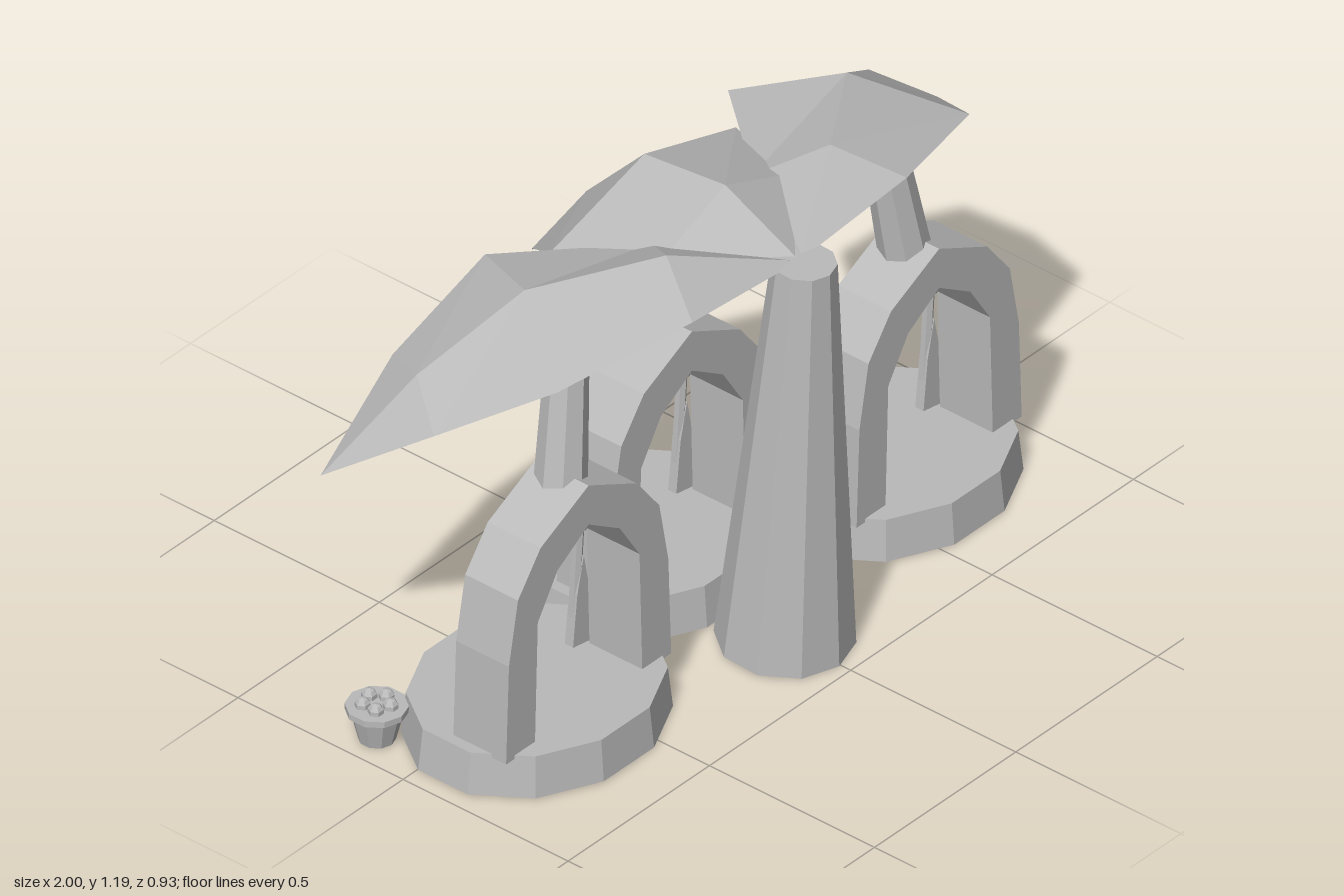
import * as THREE from 'three';

const stone = new THREE.MeshStandardMaterial({ color: 0xbababa, flatShading: true, side: THREE.DoubleSide });
stone.name = 'plain grey';

function add(parent, name, geometry, x = 0, y = 0, z = 0) {
  const mesh = new THREE.Mesh(geometry, stone);
  mesh.name = name;
  mesh.position.set(x, y, z);
  parent.add(mesh);
  return mesh;
}

// Tapered rod between two points, given as [x, y, z]
function rod(parent, name, from, to, r0, r1, sides) {
  const a = new THREE.Vector3(...from), b = new THREE.Vector3(...to);
  const dir = b.clone().sub(a);
  const mesh = add(parent, name, new THREE.CylinderGeometry(r1, r0, dir.length(), sides));
  mesh.position.copy(a).add(b).multiplyScalar(0.5);
  mesh.quaternion.setFromUnitVectors(new THREE.Vector3(0, 1, 0), dir.normalize());
  return mesh;
}

function trianglesOf(points) {
  const g = new THREE.BufferGeometry();
  g.setAttribute('position', new THREE.Float32BufferAttribute(points.flat(), 3));
  g.computeVertexNormals();
  return g;
}

// Leaf roof: stem, rows of [inner edge, ridge, outer edge], tip; the underside runs flat from edge to edge
function leafGeometry(stem, rows, tip) {
  const all = [[stem, stem, stem], ...rows, [tip, tip, tip]];
  const tris = [];
  for (let i = 0; i < all.length - 1; i++) {
    for (const [j, k] of [[0, 1], [1, 2], [2, 0]]) {
      const a = all[i][j], b = all[i][k], c = all[i + 1][j], d = all[i + 1][k];
      if (i > 0) tris.push(a, b, d);
      if (i < all.length - 2) tris.push(a, d, c);
    }
  }
  return trianglesOf(tris);
}

// Pointed arch, both halves mirrored
function archGeometry() {
  const outer = [[0.292, 0.1], [0.282, 0.37], [0.25, 0.54], [0.17, 0.645], [0, 0.73]];
  const inner = [[0.19, 0.1], [0.18, 0.44], [0.11, 0.55], [0, 0.62]];
  const mirrored = (pts) => pts.slice(0, -1).reverse().map(([x, y]) => [-x, y]);
  const outline = [...outer, ...mirrored(outer), ...[...inner, ...mirrored(inner)].reverse()];
  const shape = new THREE.Shape(outline.map(([x, y]) => new THREE.Vector2(x, y)));
  return new THREE.ExtrudeGeometry(shape, { depth: 0.16, bevelEnabled: false });
}

// Kite shield: raised centre toward the back, flat inner side
function shieldGeometry() {
  const half = [[0, 0.54], [0.06, 0.52], [0.12, 0.43], [0.095, 0.29], [0, 0.19]];
  const rim = [...half, ...half.slice(1, -1).reverse().map(([x, y]) => [-x, y])];
  const tris = [];
  rim.forEach(([x, y], i) => {
    const [u, v] = rim[(i + 1) % rim.length];
    tris.push([x, y, -0.06], [u, v, -0.06], [0, 0.385, -0.1]);
    tris.push([u, v, -0.052], [x, y, -0.052], [0, 0.385, -0.052]);
    tris.push([x, y, -0.052], [u, v, -0.052], [u, v, -0.06]);
    tris.push([x, y, -0.052], [u, v, -0.06], [x, y, -0.06]);
  });
  return trianglesOf(tris);
}

function createHut(name, x, z) {
  const hut = new THREE.Group();
  hut.name = name;
  hut.position.set(x, 0, z);

  const disc = new THREE.CylinderGeometry(0.331, 0.344, 0.11, 12);
  disc.rotateY(Math.PI / 12);
  disc.scale(1, 1, 0.84);
  add(hut, 'base', disc, 0, 0.055, 0);
  add(hut, 'arch', archGeometry(), 0, 0, -0.003);

  // Rack with hanging gear behind the arch
  add(hut, 'rackPost', new THREE.BoxGeometry(0.05, 0.35, 0.04), -0.155, 0.28, -0.018);
  rod(hut, 'rackBeam', [-0.19, 0.472, -0.02], [0.19, 0.472, -0.02], 0.044, 0.044, 6).scale.z = 0.7;
  rod(hut, 'spearShaft', [0.155, 0.12, -0.025], [0.185, 0.55, -0.025], 0.014, 0.014, 6);
  const blade = new THREE.Shape([[0.14, 0.12], [0.2, 0.11], [0.2, 0.25], [0.178, 0.36], [0.155, 0.26]]
    .map(([u, v]) => new THREE.Vector2(u, v)));
  add(hut, 'blade', new THREE.ExtrudeGeometry(blade, { depth: 0.025, bevelEnabled: false }), 0, 0, -0.035);
  add(hut, 'shield', shieldGeometry(), -0.065, 0, 0);
  add(hut, 'shieldBoss', new THREE.SphereGeometry(0.02, 8, 6), -0.065, 0.38, -0.1);
  return hut;
}

export function createModel() {
  const model = new THREE.Group();
  model.name = 'leafCanopyShelter';

  // Three huts
  model.add(createHut('rightHut', -0.62, 0.08));
  model.add(createHut('leftHut', 0.62, 0.08));
  model.add(createHut('backHut', 0, -0.138));

  // Central trunk and leaning chimneys
  rod(model, 'trunk', [-0.005, 0.005, 0.305], [0, 1.085, 0.36], 0.165, 0.077, 10);
  for (const s of [-1, 1]) {
    rod(model, 'chimney', [s * 0.625, 0.59, 0.15], [s * 0.55, 1.065, 0.115], 0.067, 0.05, 8);
  }
  rod(model, 'backChimney', [0, 0.59, -0.076], [0, 1.08, -0.085], 0.063, 0.05, 8);

  // Side leaves
  for (const s of [-1, 1]) {
    const rows = [
      [[0.18, 1.09, 0.05], [0.29, 1.18, 0.19], [0.38, 1.11, 0.345]],
      [[0.43, 1.06, -0.24], [0.57, 1.145, 0], [0.73, 1.05, 0.235]],
      [[0.71, 0.91, -0.28], [0.8, 0.97, -0.13], [0.89, 0.905, 0]],
    ];
    const flip = ([x, y, z]) => [s * x, y, z];
    add(model, 'sideLeaf', leafGeometry([0, 1.08, 0.345], rows.map((r) => r.map(flip)), [s, 0.738, -0.25]));
  }

  // Back leaf
  add(model, 'backLeaf', leafGeometry([0, 1.08, 0.345], [
    [[-0.2, 1.11, 0.12], [0, 1.19, 0.12], [0.2, 1.11, 0.12]],
    [[-0.33, 1.06, -0.13], [0, 1.165, -0.125], [0.33, 1.06, -0.13]],
    [[-0.17, 0.9, -0.32], [0, 0.98, -0.3], [0.17, 0.9, -0.32]],
  ], [0, 0.738, -0.465]));

  // Pot of round fruit
  const pot = new THREE.Group();
  pot.name = 'pot';
  pot.position.set(-0.917, 0, -0.15);
  model.add(pot);
  add(pot, 'potBody', new THREE.CylinderGeometry(0.064, 0.044, 0.08, 10), 0, 0.04, 0);
  add(pot, 'potRim', new THREE.CylinderGeometry(0.075, 0.075, 0.016, 10), 0, 0.087, 0);
  for (let i = 0; i < 5; i++) {
    const a = (i / 5) * Math.PI * 2;
    add(pot, 'fruit', new THREE.SphereGeometry(0.02, 6, 5), 0.034 * Math.cos(a), 0.1, 0.034 * Math.sin(a));
  }
  return model;
}
